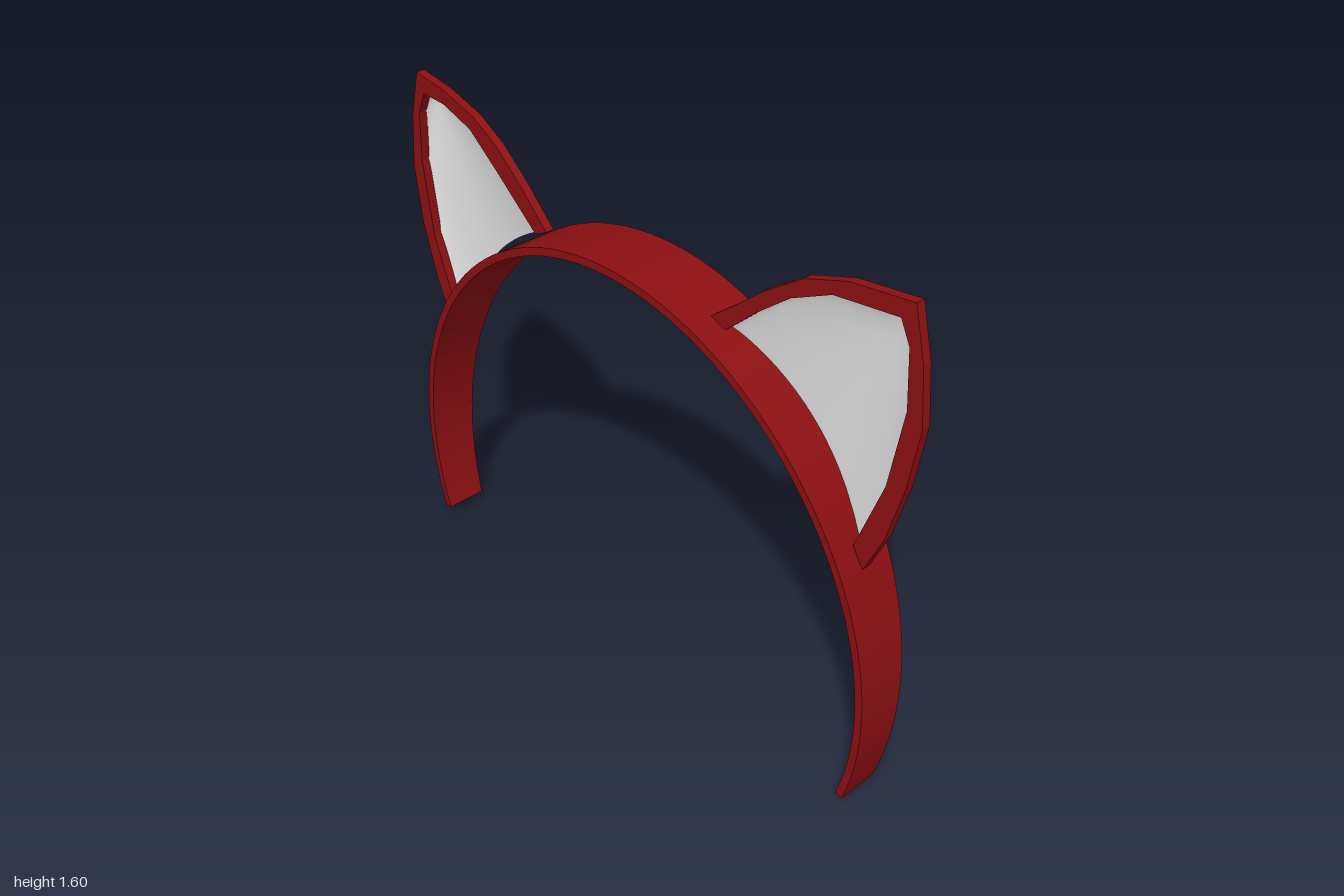
import * as THREE from 'three';
import { toCreasedNormals } from 'three/addons/utils/BufferGeometryUtils.js';

const CENTRE_Y = 0.325;

function buildGeometry(positions, index, crease) {
  const g = new THREE.BufferGeometry();
  g.setAttribute('position', new THREE.Float32BufferAttribute(positions, 3));
  g.setIndex(index);
  return toCreasedNormals(g, crease);
}

// Elliptical band, rectangular in section, narrowing towards both ends
function bandGeometry() {
  const n = 72, rx = 0.955, ry = 1.02, thick = 0.025;
  const start = -0.3243, end = Math.PI + 0.295;
  const pos = [], idx = [];
  for (let i = 0; i <= n; i++) {
    const a = start + (end - start) * i / n;
    const c = Math.cos(a), s = Math.sin(a);
    const half = 0.067 + 0.035 * (CENTRE_Y + ry * s);
    for (const [inset, side] of [[0, 1], [0, -1], [thick, -1], [thick, 1]]) {
      pos.push((rx - inset) * c, CENTRE_Y + (ry - inset) * s, side * half);
    }
  }
  for (let i = 0; i < n; i++) {
    for (let k = 0; k < 4; k++) {
      const p0 = i * 4 + k, p1 = i * 4 + (k + 1) % 4;
      idx.push(p0, p1, p0 + 4, p1, p1 + 4, p0 + 4);
    }
  }
  const e = n * 4;
  idx.push(0, 2, 1, 0, 3, 2, e, e + 1, e + 2, e, e + 2, e + 3);
  return buildGeometry(pos, idx, 0.6);
}

// Flat ear rim, open where it meets the band
function rimGeometry(rim, hole) {
  const points = [...rim, ...[...hole].reverse()].map(([x, y]) => new THREE.Vector2(x, y));
  const g = new THREE.ExtrudeGeometry(new THREE.Shape(points), { depth: 0.028, bevelEnabled: false });
  return g.translate(0, 0, -0.003);
}

// Hollow ear lining: arched across, closed at the tip, open at the band
function liningGeometry(hole, tip, side) {
  const curve = pts => new THREE.SplineCurve(pts.map(([x, y]) => new THREE.Vector2(x, y)));
  const outer = curve(hole.slice(0, tip + 1));
  const inner = curve(hole.slice(tip).reverse());
  const rows = 24, cols = 20, pos = [], idx = [];
  for (let i = 0; i <= rows; i++) {
    const s = Math.sin(i / rows * Math.PI / 2);
    const a = outer.getPointAt(s), b = inner.getPointAt(s);
    for (let j = 0; j <= cols; j++) {
      const t = (1 - Math.cos(Math.PI * j / cols)) / 2;
      const arch = Math.max(0, Math.sin(Math.PI * t));
      const p = a.clone().lerp(b, t);
      const bulge = 0.055 * arch * (1 - s) ** 2;
      const depth = 0.037 * Math.pow(arch, 0.7) * Math.sqrt(Math.max(0, 1 - s ** 8));
      pos.push(p.x + side * 0.7 * bulge, p.y + 0.7 * bulge, -depth);
    }
  }
  const w = cols + 1;
  for (let i = 0; i < rows; i++) {
    for (let j = 0; j < cols; j++) {
      const p = i * w + j;
      idx.push(p, p + 1, p + w, p + 1, p + w + 1, p + w);
    }
  }
  return buildGeometry(pos, idx, 0.9);
}

// Outlines run from the lower outer end, over the tip, to the upper inner end
const EARS = [
  {
    name: 'rightEar', side: -1, tip: 4,
    rim: [[-0.862, 0.78], [-0.92, 0.91], [-0.975, 1.09], [-1, 1.28], [-0.985, 1.45], [-0.945, 1.6],
      [-0.815, 1.58], [-0.68, 1.54], [-0.575, 1.48], [-0.47, 1.39], [-0.365, 1.285]],
    hole: [[-0.835, 0.845], [-0.92, 1.07], [-0.955, 1.31], [-0.948, 1.47], [-0.917, 1.54],
      [-0.82, 1.535], [-0.7, 1.495], [-0.58, 1.4], [-0.415, 1.262]],
  },
  {
    name: 'leftEar', side: 1, tip: 4,
    rim: [[0.867, 0.78], [0.925, 0.91], [0.972, 1.09], [1, 1.28], [0.982, 1.45], [0.944, 1.6],
      [0.746, 1.575], [0.607, 1.527], [0.48, 1.44], [0.385, 1.36], [0.29, 1.285]],
    hole: [[0.83, 0.84], [0.912, 1.07], [0.95, 1.31], [0.937, 1.48], [0.905, 1.545],
      [0.7, 1.52], [0.57, 1.457], [0.46, 1.37], [0.345, 1.265]],
  },
];

export function createModel() {
  const red = new THREE.MeshStandardMaterial({ color: 0x8c0f12 });
  red.name = 'dark red';
  const white = new THREE.MeshStandardMaterial({ color: 0xe0e0e0, side: THREE.DoubleSide });
  white.name = 'pale grey';

  const model = new THREE.Group();
  model.name = 'earHeadband';
  const add = (parent, name, geometry, material) => {
    const mesh = new THREE.Mesh(geometry, material);
    mesh.name = name;
    parent.add(mesh);
  };

  add(model, 'band', bandGeometry(), red);
  for (const { name, side, tip, rim, hole } of EARS) {
    const ear = new THREE.Group();
    ear.name = name;
    add(ear, 'earRim', rimGeometry(rim, hole), red);
    add(ear, 'earLining', liningGeometry(hole, tip, side), white);
    model.add(ear);
  }
  return model;
}
